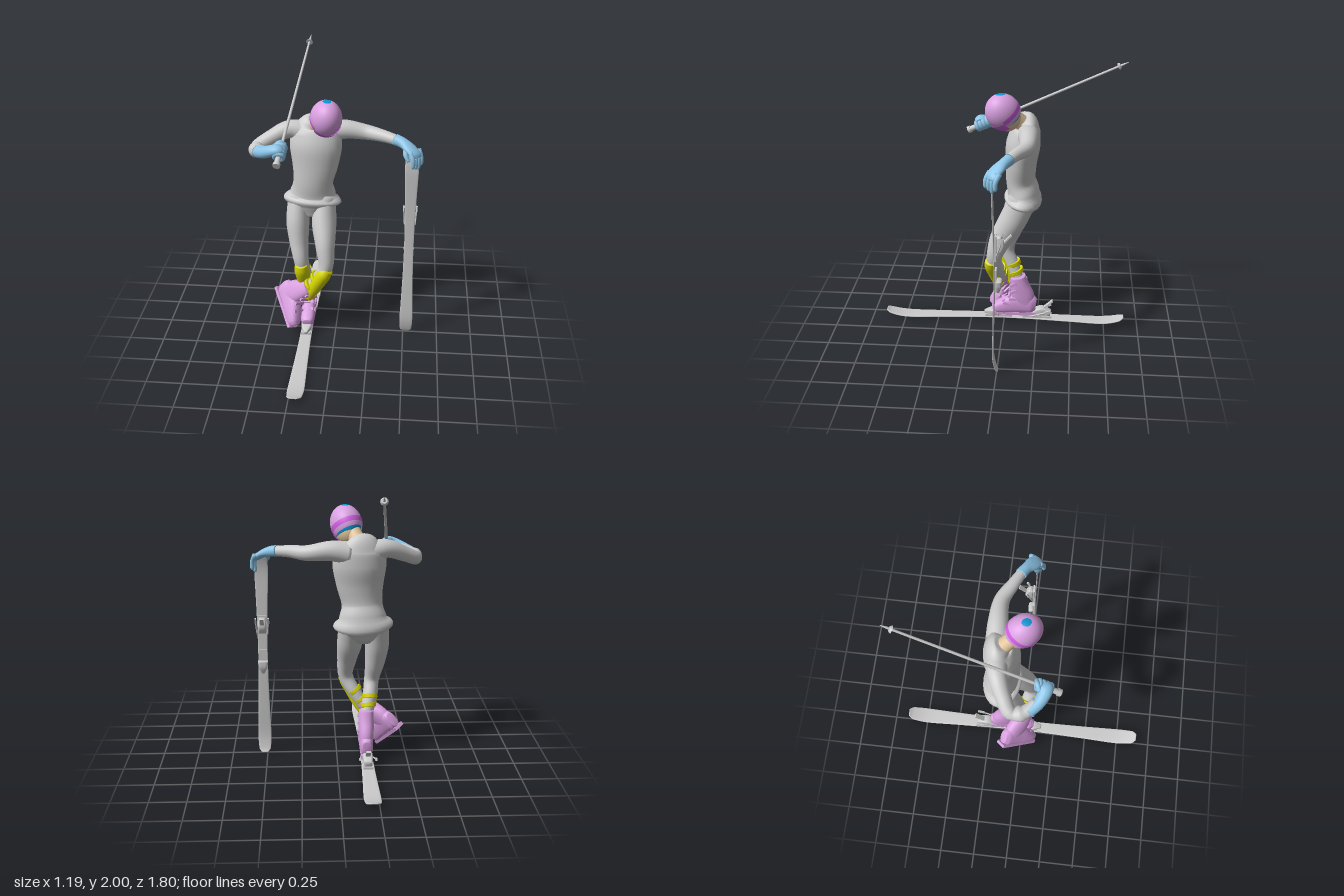
import * as THREE from 'three';

const V = (x, y, z) => new THREE.Vector3(x, y, z);
const paint = (color) => new THREE.MeshStandardMaterial({ color, side: THREE.DoubleSide });
const grey = paint(0xcccccc), pink = paint(0xd9a0e0), sky = paint(0x8cc4e6), yellow = paint(0xd6d600);
const blue = paint(0x0a96d2), magenta = paint(0xcf5fe0), skin = paint(0xe0c39a);

function add(parent, name, geometry, material, pos = [0, 0, 0], rot = [0, 0, 0]) {
  const m = new THREE.Mesh(geometry, material);
  m.name = name;
  m.position.set(...pos);
  m.rotation.set(...rot);
  parent.add(m);
  return m;
}

// Closed smooth skin through stations [x, y, z, radius along ref, other radius]; pow < 1 squares the section
function loft(stations, ref = V(1, 0, 0), pow = 1, steps = 6, sides = 24) {
  const path = new THREE.CatmullRomCurve3(stations.map((s) => V(s[0], s[1], s[2])));
  const size = new THREE.CatmullRomCurve3(stations.map((s) => V(s[3], s[4] ?? s[3], 0)));
  const n = (stations.length - 1) * steps, pos = [], index = [];
  const bend = (c) => Math.sign(c) * Math.abs(c) ** pow;
  for (let i = -1; i <= n + 1; i++) {
    const u = Math.min(Math.max(i / n, 0), 1);
    const p = path.getPoint(u), t = path.getTangent(u), r = size.getPoint(u);
    if (i < 0 || i > n) r.multiplyScalar(0.001);
    const a = ref.clone().addScaledVector(t, -ref.dot(t)).normalize();
    const b = t.clone().cross(a);
    for (let j = 0; j < sides; j++) {
      const w = (j / sides) * Math.PI * 2;
      const q = p.clone().addScaledVector(a, r.x * bend(Math.cos(w))).addScaledVector(b, r.y * bend(Math.sin(w)));
      pos.push(q.x, q.y, q.z);
      if (i > n) continue;
      const k = (i + 1) * sides, j2 = (j + 1) % sides;
      index.push(k + j, k + j2, k + sides + j, k + j2, k + sides + j2, k + sides + j);
    }
  }
  const g = new THREE.BufferGeometry();
  g.setAttribute('position', new THREE.Float32BufferAttribute(pos, 3));
  g.setIndex(index);
  g.computeVertexNormals();
  return g;
}

const Y = V(0, 1, 0);
const box = (x, y, z) => new THREE.BoxGeometry(x, y, z);

// Rod between two points
function rod(parent, name, a, b, r0, r1, mat) {
  const d = b.clone().sub(a);
  const m = add(parent, name, new THREE.CylinderGeometry(r1, r0, d.length(), 12), mat);
  m.position.copy(a).addScaledVector(d, 0.5);
  m.quaternion.setFromUnitVectors(Y, d.normalize());
  return m;
}

// Ski lying along z with toe and heel bindings
function makeSki() {
  const g = new THREE.Group();
  const half = [[0.9, 0.05, 0.026], [0.87, 0.035, 0.05], [0.76, 0.013, 0.058], [0.5, 0.015, 0.05], [0.22, 0.022, 0.043]];
  const row = (s) => ([z, y, w]) => [0, y, s * z, w, 0.005];
  const stations = [...half.map(row(-1)), [0, 0.025, 0, 0.041, 0.005], ...half.map(row(1)).reverse()];
  add(g, 'skiBlade', loft(stations, V(1, 0, 0), 0.5), grey);
  add(g, 'toePlate', box(0.07, 0.016, 0.2), grey, [0, 0.036, 0.04]);
  add(g, 'toePiece', loft([[0, 0.06, 0.04, 0.045, 0.024], [0, 0.06, 0.09, 0.038, 0.024], [0, 0.052, 0.15, 0.012, 0.012]], V(1, 0, 0), 0.5), grey);
  add(g, 'heelPlate', box(0.07, 0.016, 0.22), grey, [0, 0.036, -0.25]);
  add(g, 'heelPiece', loft([[0, 0.06, -0.22, 0.034, 0.022], [0, 0.075, -0.28, 0.036, 0.034], [0, 0.06, -0.35, 0.028, 0.02]], V(1, 0, 0), 0.5), grey);
  add(g, 'heelLever', box(0.034, 0.012, 0.11), grey, [0, 0.125, -0.325], [0.75, 0, 0]);
  for (const s of [-1, 1]) {
    rod(g, 'brakeArm', V(s * 0.045, 0.045, -0.2), V(s * 0.055, 0.09, -0.33), 0.006, 0.006, grey);
    add(g, 'brakePad', box(0.014, 0.018, 0.05), grey, [s * 0.055, 0.09, -0.33], [0.35, 0, 0]);
  }
  return g;
}

// Boot standing on its sole, toe towards z
function makeBoot() {
  const g = new THREE.Group();
  add(g, 'bootShell', loft([[0, 0.075, -0.16, 0.03, 0.05], [0, 0.08, -0.12, 0.046, 0.075], [0, 0.08, 0, 0.05, 0.075],
    [0, 0.06, 0.09, 0.051, 0.056], [0, 0.046, 0.14, 0.046, 0.042], [0, 0.04, 0.165, 0.03, 0.03]], V(1, 0, 0), 0.75), pink);
  add(g, 'bootCuff', loft([[0, 0.06, -0.085, 0.045, 0.07], [0, 0.15, -0.06, 0.052, 0.085], [0, 0.24, -0.035, 0.054, 0.07],
    [0, 0.315, -0.02, 0.052, 0.057]], V(1, 0, 0), 0.85), pink);
  add(g, 'bootSole', box(0.08, 0.024, 0.33), pink, [0, 0.01, 0.003]);
  for (const [y, z, tilt] of [[0.115, 0.085, 0.5], [0.155, 0.04, 0.8], [0.215, 0.035, 1.2], [0.275, 0.035, 1.3]]) {
    add(g, 'buckleStrap', box(0.075, 0.014, 0.022), pink, [0, y, z], [tilt, 0, 0]);
    add(g, 'buckle', box(0.014, 0.02, 0.05), pink, [0.05, y - 0.015, z - 0.025], [tilt - 0.8, 0, 0]);
  }
  return g;
}

function place(parent, name, g, pos, x, y, z, scale = 1) {
  g.name = name;
  g.quaternion.setFromRotationMatrix(new THREE.Matrix4().makeBasis(x, y, z));
  g.position.set(...pos);
  g.scale.setScalar(scale);
  parent.add(g);
}

export function createModel() {
  const model = new THREE.Group();
  model.name = 'skier';

  // Suit
  add(model, 'torso', loft([[-0.18, 0.9, -0.11, 0.08, 0.07], [-0.18, 0.98, -0.13, 0.165, 0.115], [-0.175, 1.06, -0.14, 0.165, 0.115],
    [-0.17, 1.16, -0.12, 0.14, 0.105], [-0.155, 1.3, -0.122, 0.162, 0.11], [-0.15, 1.43, -0.135, 0.182, 0.12],
    [-0.15, 1.53, -0.15, 0.172, 0.105], [-0.15, 1.59, -0.15, 0.12, 0.08], [-0.14, 1.62, -0.13, 0.06, 0.055]]), grey);
  add(model, 'rightLeg', loft([[-0.27, 1.04, -0.14, 0.08, 0.1], [-0.28, 0.88, -0.09, 0.083, 0.1], [-0.27, 0.72, -0.045, 0.07, 0.08],
    [-0.25, 0.57, -0.005, 0.053, 0.058], [-0.235, 0.46, -0.05, 0.05, 0.055], [-0.21, 0.33, -0.1, 0.044, 0.046]]), grey);
  add(model, 'leftLeg', loft([[-0.09, 1.04, -0.14, 0.08, 0.1], [-0.09, 0.88, -0.07, 0.088, 0.1], [-0.075, 0.72, 0.02, 0.07, 0.08],
    [-0.068, 0.57, 0.065, 0.052, 0.055], [-0.125, 0.46, 0.045, 0.048, 0.055], [-0.21, 0.34, 0.02, 0.042, 0.045]]), grey);
  add(model, 'rightArm', loft([[-0.2, 1.52, -0.16, 0.08], [-0.33, 1.545, -0.14, 0.063], [-0.45, 1.5, -0.09, 0.053],
    [-0.54, 1.455, -0.03, 0.047], [-0.53, 1.46, 0.05, 0.047], [-0.46, 1.49, 0.13, 0.036]], Y), grey);
  add(model, 'leftArm', loft([[-0.08, 1.52, -0.17, 0.08], [0.04, 1.54, -0.18, 0.068], [0.2, 1.525, -0.175, 0.053],
    [0.32, 1.525, -0.115, 0.042], [0.43, 1.515, -0.06, 0.034]], Y), grey);

  // Shin guards and their straps
  add(model, 'rightShinGuard', loft([[-0.25, 0.56, 0.02, 0.045, 0.045], [-0.247, 0.5, 0.01, 0.053, 0.052], [-0.235, 0.4, -0.03, 0.05, 0.048],
    [-0.225, 0.31, -0.055, 0.035, 0.035]]), yellow);
  add(model, 'leftShinGuard', loft([[-0.05, 0.565, 0.085, 0.04, 0.042], [-0.085, 0.51, 0.085, 0.053, 0.052], [-0.155, 0.38, 0.055, 0.047, 0.046],
    [-0.2, 0.29, 0.035, 0.03, 0.034]]), yellow);
  for (const [y, k] of [[0.46, 0], [0.4, 1]]) {
    add(model, 'rightGuardStrap', loft([[-0.235 + 0.012 * k, y + 0.014, -0.055 - 0.022 * k, 0.055, 0.062],
      [-0.237 + 0.012 * k, y - 0.014, -0.065 - 0.022 * k, 0.055, 0.062]]), yellow);
    add(model, 'leftGuardStrap', loft([[-0.125 - 0.045 * k, y + 0.014, 0.045 - 0.01 * k, 0.053, 0.06],
      [-0.142 - 0.045 * k, y - 0.006, 0.04 - 0.01 * k, 0.053, 0.06]]), yellow);
  }

  // Boots: right one on the ski, left one crossed over with the toe down
  place(model, 'rightBoot', makeBoot(), [-0.207, 0.052, -0.08], V(1, 0, 0), Y, V(0, 0, 1));
  const toe = V(0.11, -0.18, 0.2).normalize();
  const leg = V(0.28, 0.31, 0.1);
  leg.addScaledVector(toe, -leg.dot(toe)).normalize();
  place(model, 'leftBoot', makeBoot(), [-0.385, 0.15, -0.03], leg.clone().cross(toe), leg, toe);

  // Skis: one flat on the ground, one upright under the left hand
  place(model, 'groundSki', makeSki(), [-0.21, 0, 0], V(1, 0, 0), Y, V(0, 0, 1));
  place(model, 'uprightSki', makeSki(), [0.52, 0.745, 0.035], V(-1, 0, 0), V(0, 0, -1), V(0, -1, 0), 0.82);

  // Head, bowed forward
  add(model, 'neck', loft([[-0.15, 1.57, -0.14, 0.06], [-0.12, 1.63, -0.085, 0.052], [-0.09, 1.68, -0.03, 0.055]]), skin);
  const head = new THREE.Group();
  head.name = 'head';
  head.position.set(-0.065, 1.69, 0);
  head.rotation.set(0.7, 0.45, 0, 'YXZ');
  head.scale.set(0.106, 0.132, 0.12);
  model.add(head);
  const zone = (r, from, to, p0 = 0, p1 = 360) => {
    const d = Math.PI / 180;
    return new THREE.SphereGeometry(r, 36, 16, p0 * d, (p1 - p0) * d, from * d, (to - from) * d);
  };
  add(head, 'helmet', zone(1, 0, 122), pink);
  add(head, 'goggleStrap', zone(1.015, 93, 108, 150, 390), magenta);
  add(head, 'goggles', zone(1.05, 100, 132, 30, 150), magenta);
  add(head, 'helmetLining', zone(0.96, 118, 140), blue);
  add(head, 'crownPatch', zone(1.008, 0, 15), blue, [0, 0, 0], [-0.6, 0, 0]);
  add(head, 'face', zone(0.8, 0, 180), skin, [0, -0.35, 0.05]);

  // Ski pole with grip, basket and tip
  const butt = V(-0.37, 1.45, 0.272), tip = V(-0.25, 2, -0.84);
  const along = (t) => butt.clone().lerp(tip, t);
  rod(model, 'poleShaft', along(0.1), along(0.97), 0.011, 0.008, grey);
  rod(model, 'poleTip', along(0.97), tip, 0.007, 0.002, grey);
  rod(model, 'poleGrip', butt, along(0.15), 0.021, 0.016, grey);
  rod(model, 'poleGripCap', butt, along(0.018), 0.026, 0.026, grey);
  rod(model, 'poleBasket', along(0.94), along(0.952), 0.026, 0.018, grey);

  // Right glove closed around the grip
  add(model, 'rightGlove', loft([[-0.52, 1.465, 0.08, 0.044], [-0.47, 1.487, 0.135, 0.042], [-0.42, 1.51, 0.165, 0.04, 0.045],
    [-0.375, 1.525, 0.175, 0.038, 0.05], [-0.34, 1.52, 0.17, 0.025, 0.04]], Y), sky);
  const dir = tip.clone().sub(butt).normalize();
  for (let i = 0; i < 4; i++) {
    const f = add(model, 'rightFinger', new THREE.TorusGeometry(0.03, 0.016, 10, 20), sky);
    f.position.copy(along(0.065 + i * 0.022));
    f.quaternion.setFromUnitVectors(V(0, 0, 1), dir);
  }
  add(model, 'rightThumb', loft([[-0.4, 1.53, 0.14, 0.018], [-0.36, 1.555, 0.12, 0.017], [-0.325, 1.535, 0.11, 0.012]], Y), sky);

  // Left glove draped over the upright ski
  add(model, 'leftGlove', loft([[0.4, 1.52, -0.075, 0.04], [0.45, 1.51, -0.045, 0.036, 0.038], [0.5, 1.488, -0.005, 0.027, 0.05],
    [0.54, 1.455, 0.025, 0.023, 0.05], [0.55, 1.435, 0.035, 0.015, 0.04]], Y), sky);
  for (let i = 0; i < 4; i++) {
    const x = 0.505 + i * 0.018, z = 0.066 - i * 0.022;
    add(model, 'leftFinger', loft([[x, 1.48, z - 0.025, 0.017], [x + 0.018, 1.43, z, 0.016],
      [x + 0.02, 1.385 - 0.01 * (i % 3), z + 0.002, 0.014], [x + 0.017, 1.37 - 0.01 * (i % 3), z, 0.007]], V(0, 0, 1), 1, 4, 12), sky);
  }
  add(model, 'leftThumb', loft([[0.475, 1.49, 0, 0.022], [0.475, 1.45, 0.03, 0.018], [0.495, 1.41, 0.05, 0.01]], V(0, 0, 1), 1, 4, 12), sky);
  return model;
}
